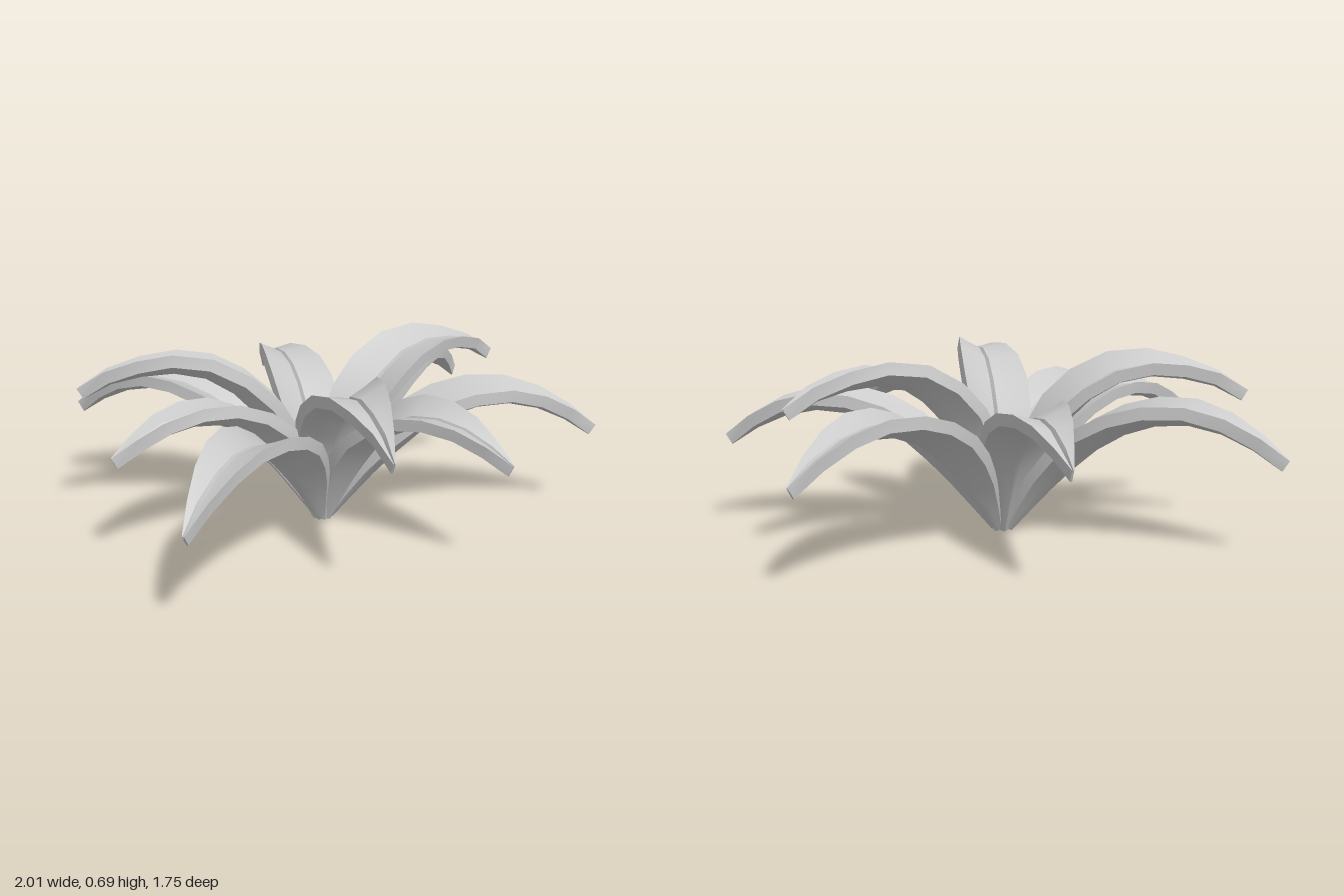
import * as THREE from 'three';
import { toCreasedNormals } from 'three/addons/utils/BufferGeometryUtils.js';

const SEGMENTS = 10;
const HALF = 7; // points across the upper (and lower) side of a leaf

// half width of the blade and steepness of its fold, from root to tip
const curve = (pts) => new THREE.SplineCurve(pts.map(([a, b]) => new THREE.Vector2(a, b)));
const WIDTH = curve([[0, 0.02], [0.15, 0.07], [0.3, 0.112], [0.45, 0.137], [0.6, 0.133], [0.75, 0.1], [0.88, 0.053], [1, 0.004]]);

// keel lines (distance outwards, height), leaf tips on the ground plane, and roll for each ring
const RINGS = [
  {
    name: 'lowerLeaf', roll: 0, width: 1,
    keel: [[0.04, 0], [0.24, 0.22], [0.42, 0.375], [0.6, 0.45], [0.75, 0.455], [0.9, 0.41], [1.04, 0.325]],
    tips: [[1, 0.06], [0.65, -0.81], [-1, -0.5], [-0.58, 0.87]],
  },
  {
    name: 'middleLeaf', roll: 0.15, width: 0.93,
    keel: [[0.04, 0], [0.16, 0.2], [0.29, 0.37], [0.43, 0.46], [0.57, 0.48], [0.7, 0.455], [0.85, 0.385]],
    tips: [[-0.22, -0.87], [0.52, 0.6], [-0.82, 0.35]],
  },
  {
    name: 'upperLeaf', roll: 0.2, width: 0.95,
    keel: [[0.04, 0], [0.13, 0.22], [0.24, 0.42], [0.38, 0.55], [0.53, 0.595], [0.7, 0.58], [0.8, 0.55], [0.88, 0.505]],
    tips: [[0.71, -0.44], [0.07, 0.82], [-0.96, -0.09]],
  },
];
const CENTRE = [-0.05, -0.03];

// thick folded blade growing along +x with a narrow groove on its midrib
function leafGeometry({ keel, roll, width }, reach) {
  const scale = reach / keel[keel.length - 1][0];
  const path = curve(keel.map(([r, y]) => [r * scale, y]));
  const positions = [], index = [], row = HALF * 2;

  for (let i = 0; i <= SEGMENTS; i++) {
    const t = i / SEGMENTS;
    const p = path.getPointAt(t), d = path.getTangentAt(t);
    const w = WIDTH.getPoint(t).y * width;
    const rise = w * THREE.MathUtils.lerp(0.75, 0.35, Math.min(1, t * 1.8));
    const thick = THREE.MathUtils.lerp(0.03, 0.045, Math.min(1, t * 3));
    const lip = Math.min(0.008, w * 0.4);
    const twist = roll * Math.sin(Math.PI * t);
    const across = [-w, -w * 0.55, -lip, 0, lip, w * 0.55, w];
    const add = (z, n) => {
      const zz = z * Math.cos(twist) + n * Math.sin(twist);
      const nn = n * Math.cos(twist) - z * Math.sin(twist);
      positions.push(p.x - d.y * nn, p.y + d.x * nn, zz);
    };
    const fold = (z) => rise * Math.pow(Math.abs(z) / w, 1.25);
    across.forEach((z) => add(z, thick + fold(z) - (z === 0 ? 0.015 : 0)));
    across.reverse().forEach((z) => add(z, fold(z)));
  }

  // skin between neighbouring sections
  for (let i = 0; i < SEGMENTS; i++) {
    for (let j = 0; j < row; j++) {
      const a = i * row + j, b = i * row + (j + 1) % row;
      index.push(a, b, a + row, b, b + row, a + row);
    }
  }
  // blunt root and tip
  const last = SEGMENTS * row;
  for (let j = 0; j < HALF - 1; j++) {
    const a = j, b = j + 1, c = row - 2 - j, e = row - 1 - j;
    index.push(a, c, b, a, e, c);
    index.push(last + a, last + b, last + c, last + a, last + c, last + e);
  }

  const geometry = new THREE.BufferGeometry();
  geometry.setAttribute('position', new THREE.Float32BufferAttribute(positions, 3));
  geometry.setIndex(index);
  return toCreasedNormals(geometry, 0.6);
}

export function createModel() {
  const plant = new THREE.Group();
  plant.name = 'leafRosette';
  const material = new THREE.MeshStandardMaterial({ color: 0xcccccc });

  for (const ring of RINGS) {
    ring.tips.forEach(([x, z], i) => {
      const dx = x - CENTRE[0], dz = z - CENTRE[1];
      const leaf = new THREE.Mesh(leafGeometry(ring, Math.hypot(dx, dz) - 0.02), material);
      leaf.name = `${ring.name}${i + 1}`;
      leaf.position.set(CENTRE[0], 0, CENTRE[1]);
      leaf.rotation.y = -Math.atan2(dz, dx);
      plant.add(leaf);
    });
  }
  return plant;
}
